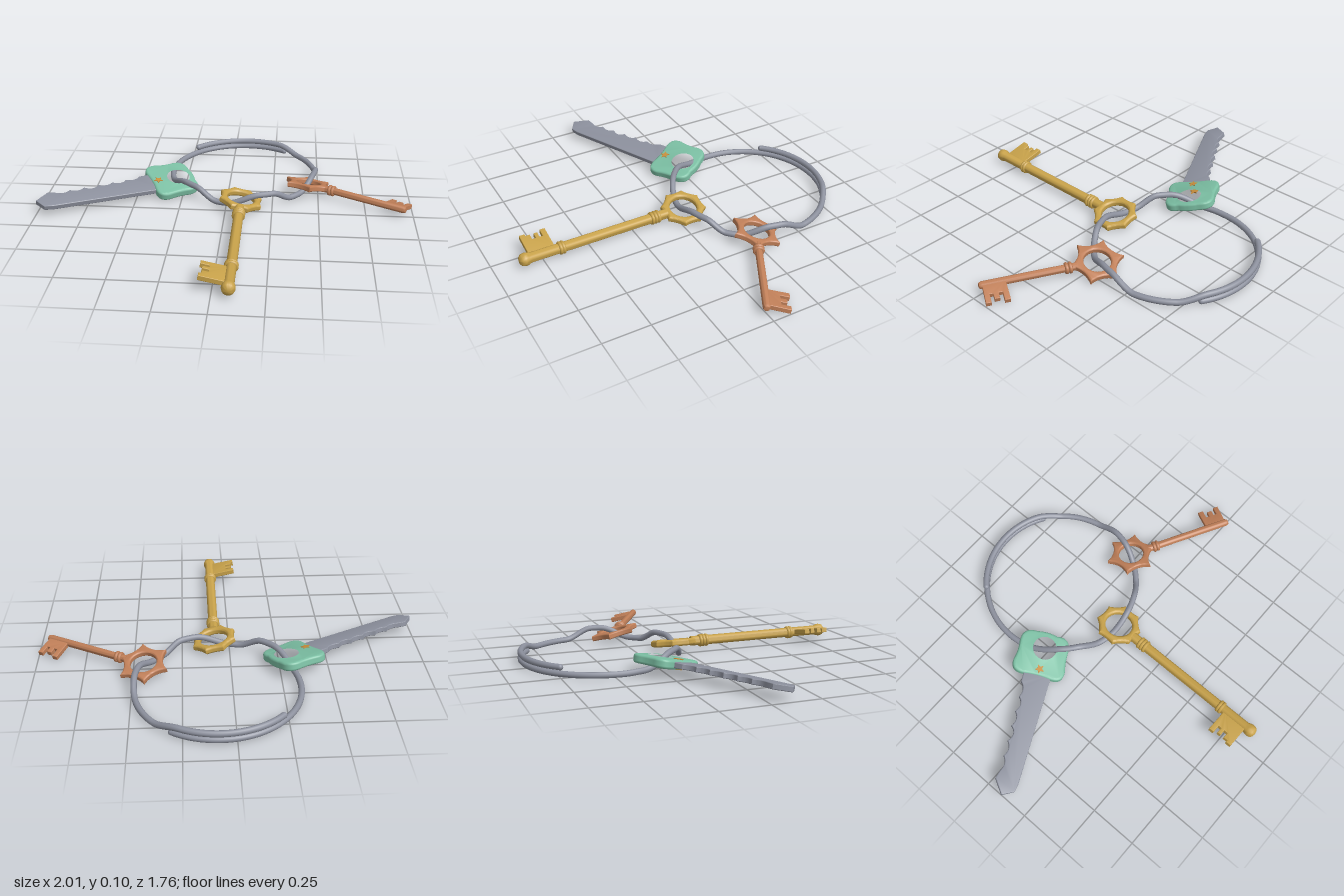
import * as THREE from 'three';
import { toCreasedNormals } from 'three/addons/utils/BufferGeometryUtils.js';

const material = (name, color) => {
  const m = new THREE.MeshStandardMaterial({ color });
  m.name = name;
  return m;
};

export function createModel() {
  const steel = material('steel', 0x8d919e);
  const green = material('green', 0x7cc0a4);
  const brass = material('brass', 0xc8a24a);
  const copper = material('copper', 0xc07f58);
  const gold = material('gold', 0xc98f3c);
  const model = new THREE.Group();
  model.name = 'keyRing';

  const add = (parent, name, geometry, mat) => {
    const mesh = new THREE.Mesh(geometry, mat);
    mesh.name = name;
    parent.add(mesh);
    return mesh;
  };

  // Bevelled plate centred on its own thickness
  const plate = (shape, thickness, bevel) => {
    const g = new THREE.ExtrudeGeometry(shape, {
      depth: thickness - 2 * bevel, bevelEnabled: bevel > 0, bevelThickness: bevel,
      bevelSize: bevel, bevelOffset: -bevel, bevelSegments: 3, curveSegments: 10,
    });
    g.translate(0, 0, -(thickness - 2 * bevel) / 2);
    return toCreasedNormals(g, 0.7);
  };
  const polygon = pts => new THREE.Shape(pts.map(p => new THREE.Vector2(p[0], p[1])));
  const punch = (shape, x, y, r) => {
    shape.holes.push(new THREE.Path().absarc(x, y, r, 0, Math.PI * 2, true));
    return shape;
  };

  // Outline with n corners joined by concave curves
  const scalloped = (n, corner, control, phase) => {
    const s = new THREE.Shape();
    const at = (r, a) => [r * Math.cos(a), r * Math.sin(a)];
    const step = Math.PI * 2 / n;
    s.moveTo(...at(corner, phase));
    for (let i = 0; i < n; i++) {
      s.quadraticCurveTo(...at(control, phase + (i + 0.5) * step), ...at(corner, phase + (i + 1) * step));
    }
    return s;
  };

  // Each key lies along local x, turned by yaw and tipped about its own length
  const makeKey = (name, x, y, z, yaw, tilt) => {
    const key = new THREE.Group();
    key.name = name;
    key.position.set(x, y, z);
    key.rotation.set(-Math.PI / 2 + tilt, yaw, 0, 'YXZ');
    model.add(key);
    return key;
  };
  const shaft = (key, profile, mat) => {
    const g = new THREE.LatheGeometry(profile.map(p => new THREE.Vector2(p[0], p[1])), 20);
    g.rotateZ(-Math.PI / 2);
    add(key, 'shaft', toCreasedNormals(g, 0.7), mat);
  };
  const collars = (key, places, radius, tube, mat) => {
    for (const u of places) {
      const c = add(key, 'collar', new THREE.TorusGeometry(radius, tube, 8, 20), mat);
      c.rotation.y = Math.PI / 2;
      c.position.x = u;
    }
  };

  // Wire ring: height by angle, weaving through the three keys and overlapping at the back
  const heights = [[-136, 0.05], [-62, 0.05], [-40, 0.017], [-12, 0.017], [9, 0.072], [16, 0.072],
    [40, 0.02], [48, 0.02], [65, 0.07], [75, 0.07], [100, 0.02], [107, 0.02], [127, 0.077],
    [136, 0.077], [165, 0.02], [180, 0.017], [303.3, 0.017]];
  const heightAt = a => {
    let i = 0;
    while (i < heights.length - 2 && a > heights[i + 1][0]) i++;
    const [a0, h0] = heights[i], [a1, h1] = heights[i + 1];
    return THREE.MathUtils.lerp(h0, h1, THREE.MathUtils.smoothstep(a, a0, a1));
  };
  const wire = [];
  for (let i = 0; i <= 130; i++) {
    const deg = THREE.MathUtils.lerp(-136, 303.3, i / 130), a = deg * Math.PI / 180;
    wire.push(new THREE.Vector3(0.075 + 0.412 * Math.cos(a), heightAt(deg), -0.46 + 0.412 * Math.sin(a)));
  }
  add(model, 'wireRing', new THREE.TubeGeometry(new THREE.CatmullRomCurve3(wire), 260, 0.016, 10), steel);
  for (const p of [wire[0], wire[130]]) {
    add(model, 'wireEnd', new THREE.SphereGeometry(0.016, 10, 8), steel).position.copy(p);
  }

  // Long brass key
  const long = makeKey('longKey', 0.08, 0.045, -0.048, -Math.PI / 2, -0.21);
  add(long, 'bow', plate(punch(scalloped(8, 0.122, 0.1, Math.PI / 8), 0, 0, 0.074), 0.036, 0.012), brass);
  shaft(long, [[0, 0.095], [0.026, 0.1], [0.026, 0.865], [0.032, 0.88], [0.034, 0.895], [0.03, 0.912],
    [0.018, 0.922], [0, 0.925]], brass);
  collars(long, [0.155, 0.172, 0.19, 0.693, 0.708], 0.025, 0.01, brass);
  add(long, 'bit', plate(polygon([[0.73, 0], [0.73, -0.145], [0.758, -0.145], [0.758, -0.1], [0.775, -0.1],
    [0.775, -0.133], [0.795, -0.133], [0.795, -0.1], [0.815, -0.1], [0.815, -0.133], [0.838, -0.133],
    [0.838, -0.145], [0.868, -0.145], [0.868, 0]]), 0.026, 0.003), brass);

  // Short copper key
  const short = makeKey('shortKey', 0.445, 0.046, -0.27, -0.503, -0.25);
  add(short, 'bow', plate(punch(scalloped(6, 0.137, 0.078, 0), 0, 0, 0.069), 0.032, 0.008), copper);
  shaft(short, [[0, 0.1], [0.019, 0.1], [0.019, 0.57], [0.014, 0.582], [0, 0.586]], copper);
  collars(short, [0.137, 0.156], 0.02, 0.01, copper);
  add(short, 'bit', plate(polygon([[0.455, 0], [0.568, 0], [0.572, 0.118], [0.545, 0.118], [0.545, 0.07],
    [0.528, 0.07], [0.528, 0.102], [0.502, 0.102], [0.502, 0.07], [0.483, 0.07], [0.483, 0.12],
    [0.455, 0.12]]), 0.026, 0.003), copper);

  // Toothed steel key with a green grip
  const toothed = makeKey('toothedKey', -0.318, 0.054, -0.24, Math.PI + 0.501, -0.22);
  const grip = new THREE.Shape();
  grip.moveTo(-0.12, 0.05);
  grip.quadraticCurveTo(-0.135, 0.12, -0.06, 0.128);
  grip.quadraticCurveTo(0, 0.122, 0.06, 0.135);
  grip.quadraticCurveTo(0.13, 0.14, 0.122, 0.06);
  grip.quadraticCurveTo(0.112, 0, 0.122, -0.07);
  grip.quadraticCurveTo(0.13, -0.15, 0.06, -0.145);
  grip.quadraticCurveTo(0, -0.13, -0.05, -0.138);
  grip.quadraticCurveTo(-0.125, -0.14, -0.122, -0.06);
  grip.quadraticCurveTo(-0.135, 0, -0.12, 0.05);
  add(toothed, 'grip', plate(punch(grip, -0.036, 0, 0.077), 0.046, 0.013), green);

  // Blade: straight spine, row of scooped cuts, pointed tip
  const blade = new THREE.Shape();
  blade.moveTo(0.09, 0.07);
  blade.lineTo(0.09, -0.076);
  blade.lineTo(0.17, -0.076);
  const cuts = [0.055, 0.045, 0.05, 0.04, 0.05, 0.052];
  cuts.forEach((depth, i) => {
    const u = 0.17 + i * 0.08;
    blade.quadraticCurveTo(u + 0.035, -depth + 0.012, u + 0.08, -0.068);
  });
  blade.lineTo(0.69, -0.08);
  blade.lineTo(0.765, -0.03);
  blade.lineTo(0.735, 0.03);
  blade.lineTo(0.69, 0.04);
  add(toothed, 'blade', plate(blade, 0.028, 0.004), steel);

  // Small star inlaid on both faces of the grip
  const star = polygon(Array.from({ length: 10 }, (_, i) => {
    const r = i % 2 ? 0.012 : 0.026, a = i * Math.PI / 5;
    return [r * Math.cos(a), r * Math.sin(a)];
  }));
  for (const side of [-1, 1]) {
    add(toothed, 'star', plate(star, 0.008, 0), gold).position.set(0.083, 0, side * 0.023);
  }
  return model;
}
